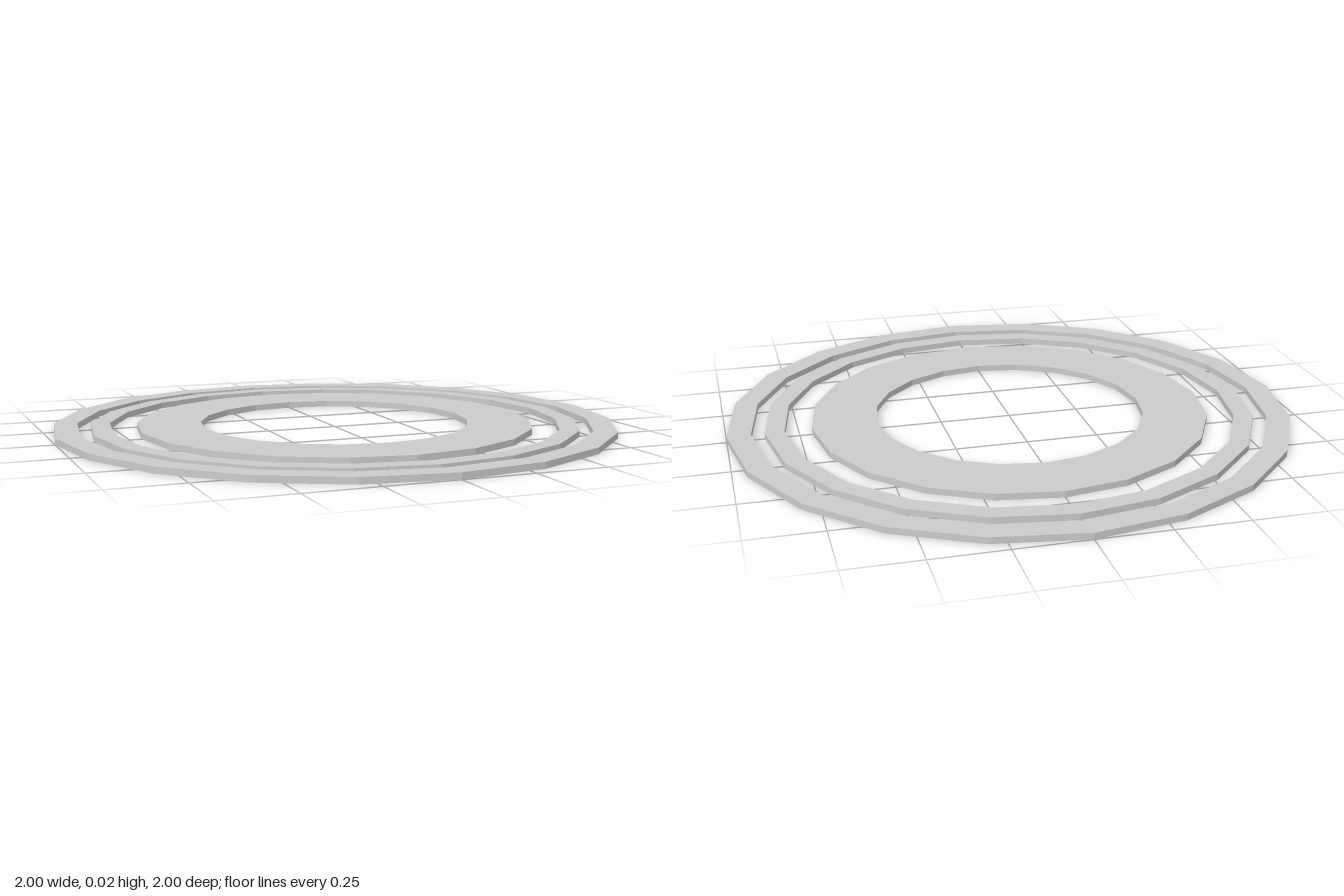
import * as THREE from 'three';

const SIDES = 20;
const HEIGHT = 0.022;

// Flat 20-sided ring with a rectangular cross-section
function ring(name, inner, outer, material) {
  const profile = [
    [inner, 0], [outer, 0], [outer, HEIGHT], [inner, HEIGHT], [inner, 0],
  ].map(([r, y]) => new THREE.Vector2(r, y));
  const mesh = new THREE.Mesh(new THREE.LatheGeometry(profile, SIDES), material);
  mesh.name = name;
  return mesh;
}

export function createModel() {
  const group = new THREE.Group();
  group.name = 'concentricRings';
  const material = new THREE.MeshStandardMaterial({ color: 0xcccccc, flatShading: true });

  group.add(
    ring('outerRing', 0.917, 1, material),
    ring('middleRing', 0.802, 0.87, material),
    ring('innerRing', 0.48, 0.707, material),
  );
  return group;
}
